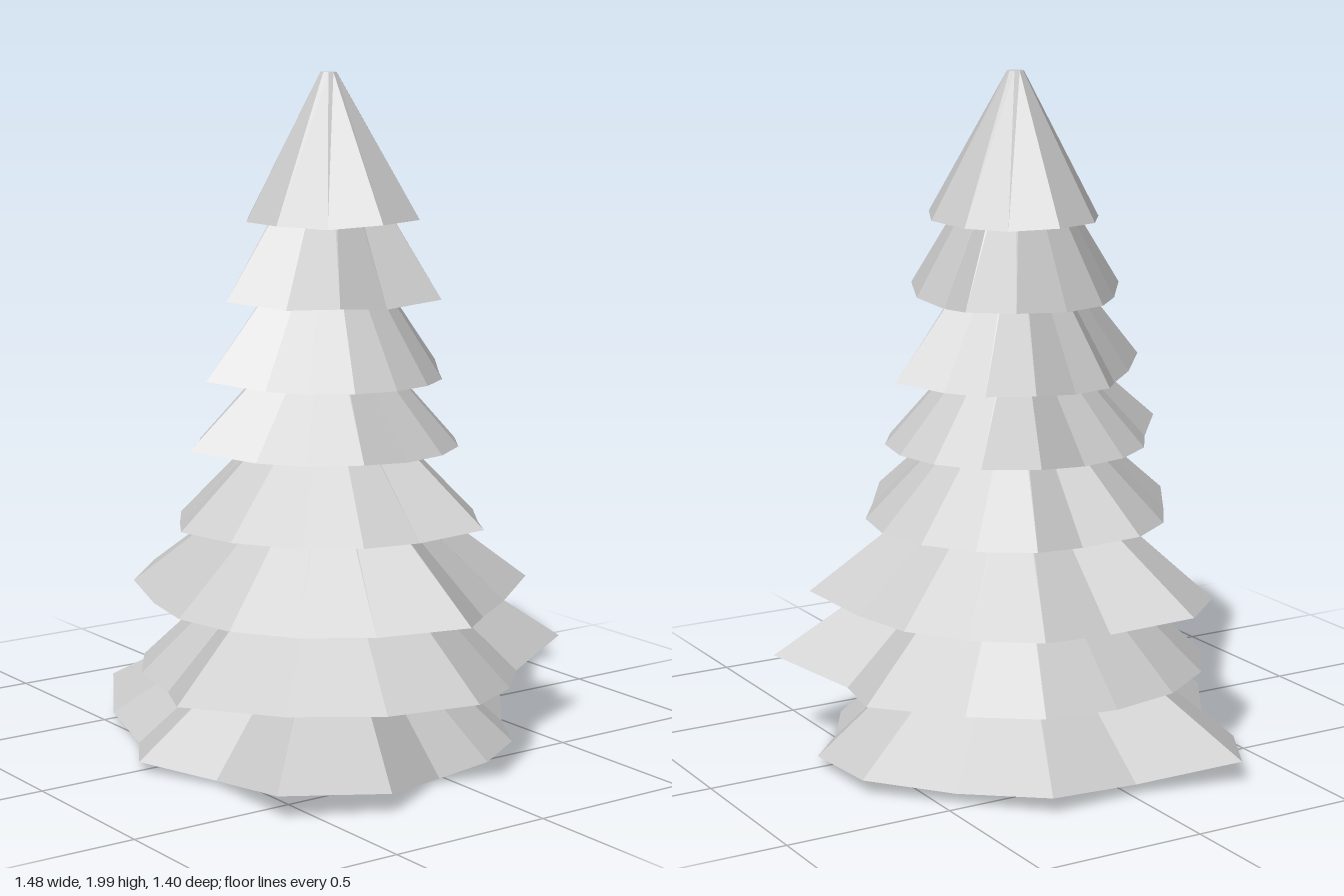
import * as THREE from 'three';

// Tiers from the ground up: segments, rim height, apex height, usual rim radius,
// and the radii of the rim points that stick out or fall back, by segment.
const TIERS = [
  { n: 16, y: 0.038, top: 0.5, r: 0.67, tips: { 0: 0.55, 1: 0.78, 2: 0.84, 3: 0.6, 5: 0.58, 7: 0.81, 9: 0.74, 11: 0.72, 13: 0.55, 14: 0.56, 15: 0.55 } },
  { n: 16, y: 0.23, top: 0.75, r: 0.57, tips: { 0: 0.73, 1: 0.73, 2: 0.71, 3: 0.79, 9: 0.61, 11: 0.7, 13: 0.73, 15: 0.62 } },
  { n: 16, y: 0.442, top: 0.92, r: 0.53, tips: { 0: 0.69, 1: 0.6, 6: 0.6, 7: 0.64, 9: 0.6, 13: 0.62 } },
  { n: 16, y: 0.68, top: 1.12, r: 0.45, tips: { 3: 0.52, 4: 0.52, 8: 0.38, 15: 0.53 } },
  { n: 16, y: 0.905, top: 1.32, r: 0.39, tips: { 1: 0.45, 4: 0.49, 9: 0.52 } },
  { n: 16, y: 1.105, top: 1.6, r: 0.34, tips: { 4: 0.43, 6: 0.3, 9: 0.42, 12: 0.4 } },
  { n: 12, y: 1.335, top: 1.85, r: 0.29, tips: { 1: 0.35, 3: 0.36, 7: 0.33, 9: 0.24, 11: 0.36 } },
  { n: 10, y: 1.57, top: 2, r: 0.25, tips: { 0: 0.27, 1: 0.21, 6: 0.21, 7: 0.22, 9: 0.28 } },
];
const TIP_RADIUS = 0.025;
const LIFT = 0.25; // long branches rise, short ones droop

// Faceted skirt of branches from an uneven rim up to a small flat tip
function tierGeometry({ n, y, top, r, tips }) {
  const pos = [];
  const point = (i, radius, h) => {
    const a = (i / n) * Math.PI * 2;
    return [Math.cos(a) * radius, h, Math.sin(a) * radius];
  };
  const rim = (i) => {
    const radius = tips[i % n] ?? r;
    return point(i, radius, y + (radius - r) * LIFT);
  };
  for (let i = 0; i < n; i++) {
    const a = rim(i), b = rim(i + 1);
    const c = point(i, TIP_RADIUS, top), d = point(i + 1, TIP_RADIUS, top);
    pos.push(...c, ...b, ...a, ...c, ...d, ...b, 0, top, 0, ...d, ...c);
  }
  const geo = new THREE.BufferGeometry();
  geo.setAttribute('position', new THREE.Float32BufferAttribute(pos, 3));
  geo.computeVertexNormals();
  return geo;
}

export function createModel() {
  const tree = new THREE.Group();
  tree.name = 'firTree';
  const foliage = new THREE.MeshStandardMaterial({
    color: 0xcccccc, flatShading: true, side: THREE.DoubleSide,
  });
  foliage.name = 'pale grey foliage';
  TIERS.forEach((tier, i) => {
    const mesh = new THREE.Mesh(tierGeometry(tier), foliage);
    mesh.name = `branchTier${i + 1}`;
    mesh.position.set(0.01, 0, 0.015);
    tree.add(mesh);
  });
  return tree;
}
